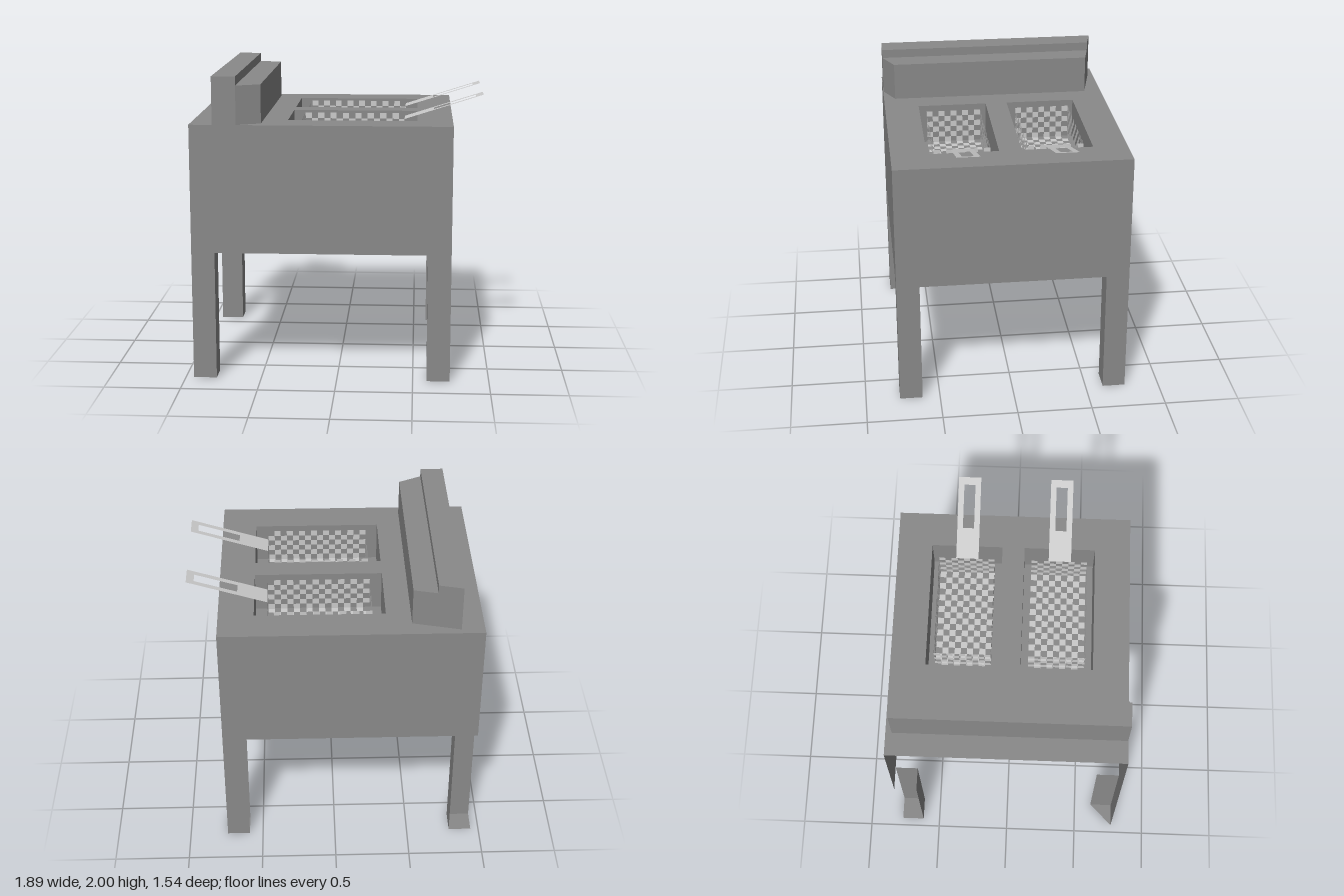
import * as THREE from 'three';
import { mergeGeometries } from 'three/addons/utils/BufferGeometryUtils.js';

const L = -0.947, R = 0.743, D = 0.77;      // cabinet sides and half depth
const TOP = 1.69, APRON = 0.85, LEG = 0.152;
const V = (x, y, z) => new THREE.Vector3(x, y, z);
const steel = (color) => new THREE.MeshStandardMaterial({ color, side: THREE.DoubleSide, flatShading: true });
const darkSteel = steel(0x8a8a8a), brightSteel = steel(0xcccccc);

// flat convex polygon, corners counter-clockwise from outside
function face(...corners) {
  const g = new THREE.BufferGeometry();
  const tris = [];
  for (let i = 1; i < corners.length - 1; i++) tris.push(corners[0], corners[i], corners[i + 1]);
  g.setFromPoints(tris);
  g.computeVertexNormals();
  return g;
}

function add(parent, name, material, ...faces) {
  const mesh = new THREE.Mesh(faces.length > 1 ? mergeGeometries(faces) : faces[0], material);
  mesh.name = name;
  parent.add(mesh);
}

const outline = (pts) => pts.map(([a, b]) => new THREE.Vector2(a, b));

// flat panel with holes
function panel(pts, holes = []) {
  const s = new THREE.Shape(outline(pts));
  holes.forEach((h) => s.holes.push(new THREE.Path(outline(h))));
  return new THREE.ShapeGeometry(s);
}

const rect = (x0, x1, y0, y1) => [[x0, y0], [x1, y0], [x1, y1], [x0, y1]];

// vertical band of quads around a plan [x, z] outline
function band(plan, y0, y1) {
  return plan.map(([x, z], i) => {
    const [u, w] = plan[(i + 1) % plan.length];
    return face(V(x, y0, z), V(u, y0, w), V(u, y1, w), V(x, y1, z));
  });
}

// alternate cells of a grid spanned by u and v
function checker(o, u, v, nu, nv) {
  const at = (i, j) => o.clone().addScaledVector(u, i / nu).addScaledVector(v, j / nv);
  const cells = [];
  for (let i = 0; i < nu; i++)
    for (let j = 0; j < nv; j++)
      if ((i + j) % 2) cells.push(face(at(i, j), at(i + 1, j), at(i + 1, j + 1), at(i, j + 1)));
  return cells;
}

function addCabinet(root, splashPlan, basins) {
  const top = panel(rect(L, R, -D, D), [
    splashPlan.map(([x, z]) => [x, -z]),
    ...basins.map(([z0, z1]) => rect(-0.33, 0.513, -z1, -z0)),
  ]);
  add(root, 'topPanel', darkSteel, top.rotateX(-Math.PI / 2).translate(0, TOP, 0));

  // walls run down into the outer faces of the legs
  const arch = (a, b) => [[a, 0], [a + LEG, 0], [a + LEG, APRON], [b - LEG, APRON],
    [b - LEG, 0], [b, 0], [b, TOP], [a, TOP]];
  add(root, 'frontWall', darkSteel, panel(arch(L, R)).translate(0, 0, D));
  add(root, 'sideWall', darkSteel, panel(arch(-D, D)).rotateY(Math.PI / 2).translate(R, 0, 0));
  const back = panel([[-R, 0], [-R + LEG, 0], [-R + LEG, APRON], [-L, APRON], [-L, TOP], [-R, TOP]]);
  add(root, 'backWall', darkSteel, back.rotateY(Math.PI).translate(0, 0, -D));
}

// inner faces and foot of each leg; the right-hand side of the cabinet is open
function addLegs(root) {
  for (const sx of [1, -1]) for (const sz of [1, -1]) {
    const xo = sx > 0 ? R : L, xi = xo - sx * LEG;
    const zo = sz * D, zi = zo - sz * LEG;
    const inX = face(V(xi, 0, zo), V(xi, 0, zi), V(xi, APRON, zi), V(xi, APRON, zo));
    const inZ = face(V(xi, 0, zi), V(xo, 0, zi), V(xo, APRON, zi), V(xi, APRON, zi));
    const foot = [V(xi, 0, zi), V(xi, 0, zo), V(xo, 0, zo), V(xo, 0, zi)];
    const cutLeg = sx < 0 && sz > 0;
    const faces = [cutLeg ? face(...foot.slice(0, 3)) : face(...foot)];
    if (!(sx > 0 && sz < 0)) faces.push(inX);
    if (!cutLeg) faces.push(inZ);
    add(root, (sz > 0 ? 'front' : 'back') + (sx > 0 ? 'Left' : 'Right') + 'Leg', darkSteel, ...faces);
  }
}

// stepped upstand with angled ends
function addSplash(root, plan) {
  const [a, b, c, d, e, f] = plan; // tall part a b e f, low part b c d e
  const LOW = 1.942, HIGH = 2;
  const lid = (y, ...p) => face(...p.map(([x, z]) => V(x, y, z)));
  const tall = band([a, b, e, f], LOW, HIGH);
  add(root, 'backsplash', darkSteel, ...band(plan, TOP, LOW), ...tall,
    lid(HIGH, a, b, e, f), lid(LOW, b, c, d, e));
}

function addBasin(root, z0, z1) {
  const y = TOP - 0.27;
  const plan = [[-0.33, z0], [-0.33, z1], [0.513, z1], [0.513, z0]];
  add(root, 'fryingBasin', darkSteel, ...band(plan, y, TOP), face(...plan.map(([x, z]) => V(x, y, z))));
}

function addBasket(root, z0, z1) {
  const basket = new THREE.Group();
  basket.name = 'fryingBasket';
  const x0 = -0.248, x1 = 0.428, y0 = 1.45, y1 = 1.68;
  const X = V(x1 - x0, 0, 0), Y = V(0, y1 - y0, 0), Z = V(0, 0, z1 - z0);
  add(basket, 'basketMesh', brightSteel,
    ...checker(V(x0, y0, z0), X, Z, 16, 9),
    ...checker(V(x0, y0, z0), X, Y, 16, 6), ...checker(V(x0, y0, z1), X, Y, 16, 6),
    ...checker(V(x0, y0, z0), Z, Y, 9, 6), ...checker(V(x1, y0, z0), Z, Y, 9, 6));

  // sloping flat handle with a grip slot
  const slope = Math.atan2(0.165, 0.517), k = 1 / Math.cos(slope);
  const grip = panel(rect(0, 0.517 * k, -0.074, 0.074), [rect(0.193 * k, 0.469 * k, -0.037, 0.037)]);
  grip.rotateX(-Math.PI / 2).rotateZ(slope).translate(x1, y1, (z0 + z1) / 2 + 0.003);
  add(basket, 'basketHandle', brightSteel, grip);
  root.add(basket);
}

export function createModel() {
  const root = new THREE.Group();
  root.name = 'deepFryer';
  const splash = [[-0.797, 0.767], [-0.643, 0.767], [-0.49, 0.692], [-0.49, -0.655], [-0.643, -0.692], [-0.797, -0.73]];
  const basins = [[-0.543, -0.077], [0.07, 0.537]];
  addCabinet(root, splash, basins);
  addLegs(root);
  addSplash(root, splash);
  for (const [z0, z1] of basins) {
    addBasin(root, z0, z1);
    addBasket(root, z0 + 0.048, z1 - 0.05);
  }
  return root;
}
